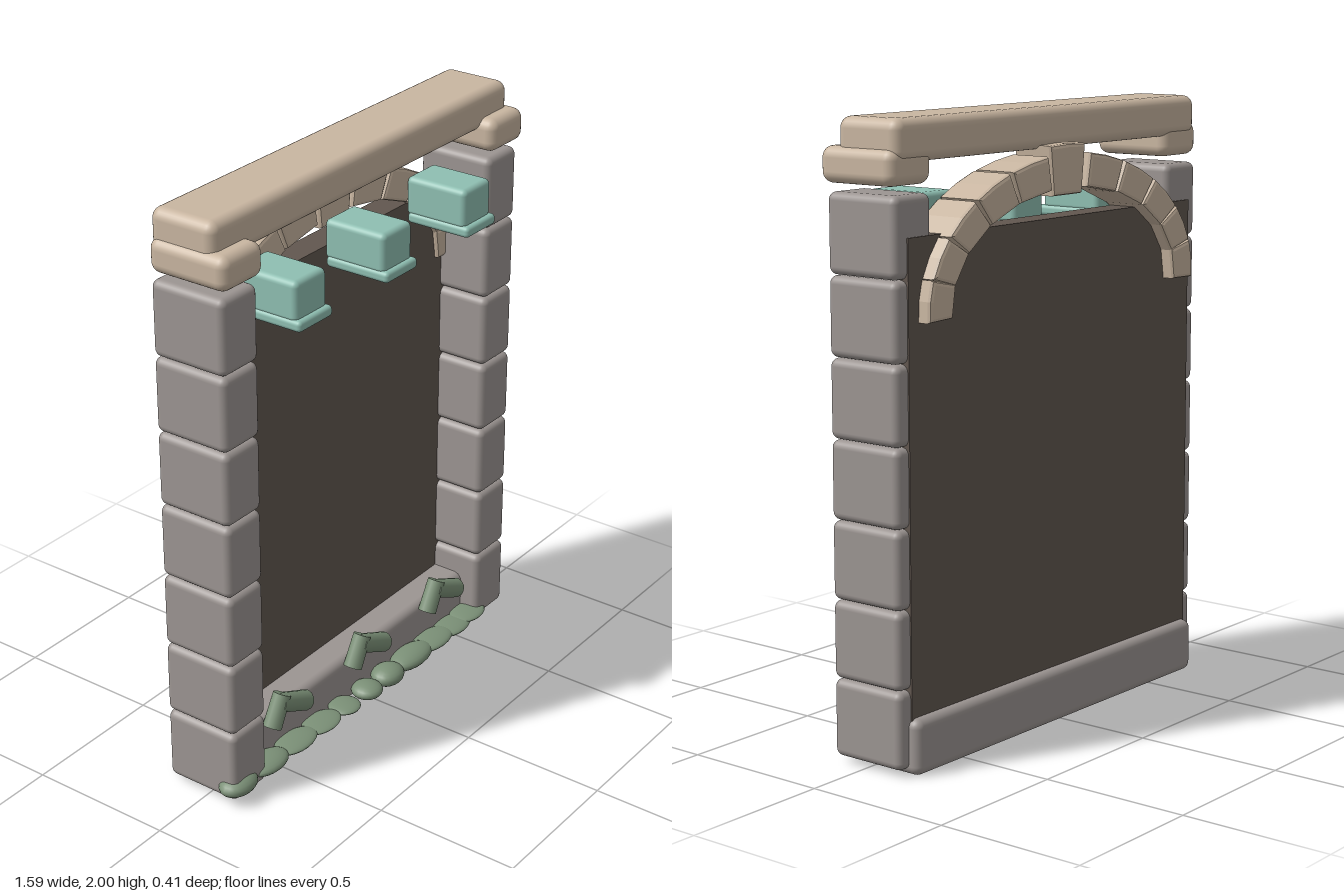
import * as THREE from 'three';
import { RoundedBoxGeometry } from 'three/addons/geometries/RoundedBoxGeometry.js';

function material(name, color) {
  const m = new THREE.MeshStandardMaterial({ color });
  m.name = name;
  return m;
}

export function createModel() {
  const model = new THREE.Group();
  model.name = 'stoneGateway';

  const greyStone = material('greyStone', 0x9c9592);
  const sandstone = material('sandstone', 0xc9b6a1);
  const darkPanel = material('darkPanel', 0x61574f);
  const patina = material('patina', 0x8fbfb2);
  const moss = material('moss', 0x7b9077);

  function add(name, geometry, mat) {
    const mesh = new THREE.Mesh(geometry, mat);
    mesh.name = name;
    model.add(mesh);
    return mesh;
  }

  // Rounded block given by its lowest and highest corner
  function block(name, mat, [x0, y0, z0], [x1, y1, z1], radius) {
    const geo = new RoundedBoxGeometry(x1 - x0, y1 - y0, z1 - z0, 3, radius);
    return add(name, geo.translate((x0 + x1) / 2, (y0 + y1) / 2, (z0 + z1) / 2), mat);
  }

  // Back panel and sill
  const panel = new THREE.BoxGeometry(1.45, 1.53, 0.095).translate(0.005, 0.885, -0.11);
  add('backPanel', panel, darkPanel);
  block('sill', greyStone, [-0.73, 0, -0.19], [0.74, 0.18, 0.05], 0.03);

  // Pillars of seven blocks, each with a cap
  for (const x of [-0.685, 0.697]) {
    for (let i = 0; i < 7; i++) {
      const y = 0.02 + i * 0.251;
      block('pillarBlock', greyStone, [x - 0.084, y, -0.153], [x + 0.084, y + 0.249, 0.121], 0.025);
    }
    block('pillarCap', sandstone, [x - 0.095, 1.8, -0.15], [x + 0.095, 1.912, 0.14], 0.035);
  }
  block('lintel', sandstone, [-0.762, 1.868, -0.155], [0.772, 2, 0.085], 0.035);

  // Elliptical arch of wedge stones
  function archStone(name, t0, t1, inner, outer, back) {
    const bevel = 0.012;
    const at = (t, r) => new THREE.Vector2((0.63 + r) * Math.sin(t), 1.42 + (0.38 + r) * Math.cos(t));
    const tm = (t0 + t1) / 2;
    const shape = new THREE.Shape([
      at(t0, inner + bevel), at(t1, inner + bevel),
      at(t1, outer - bevel), at(tm, outer - bevel), at(t0, outer - bevel),
    ]);
    const geo = new THREE.ExtrudeGeometry(shape, {
      depth: -0.045 - back - 2 * bevel, bevelEnabled: true,
      bevelThickness: bevel, bevelSize: bevel, bevelSegments: 2,
    });
    add(name, geo.translate(0, 0, back + bevel), sandstone);
  }
  const step = THREE.MathUtils.degToRad(17);
  const half = step / 2 - 0.028;
  for (let i = -5; i <= 5; i++) {
    if (i === 0) archStone('keystone', -0.11, 0.11, -0.075, 0.085, -0.195);
    else archStone('archStone', i * step - half, i * step + half, -0.055, 0.055, -0.203);
  }

  // Round stick between two points
  function stick(name, from, to, r0, r1) {
    const a = new THREE.Vector3(...from);
    const b = new THREE.Vector3(...to);
    const dir = b.clone().sub(a);
    const mesh = add(name, new THREE.CylinderGeometry(r1, r0, dir.length(), 12), moss);
    mesh.position.copy(a).add(b).multiplyScalar(0.5);
    mesh.quaternion.setFromUnitVectors(new THREE.Vector3(0, 1, 0), dir.normalize());
  }

  // Hanging brackets with a foot plate, and a forked twig below each
  for (const x of [-0.437, 0.004, 0.445]) {
    block('bracket', patina, [x - 0.077, 1.625, -0.04], [x + 0.077, 1.76, 0.19], 0.02);
    block('bracketFoot', patina, [x - 0.083, 1.603, -0.03], [x + 0.083, 1.64, 0.208], 0.014);
    stick('twigStem', [x - 0.08, 0.155, 0.075], [x - 0.025, 0.257, 0.075], 0.032, 0.03);
    stick('twigBranch', [x - 0.045, 0.232, 0.075], [x + 0.098, 0.165, 0.075], 0.033, 0.035);
  }

  // Moss pads along the foot: x, y, half width, half height
  const pads = [
    [-0.72, 0.062, 0.075, 0.034], [-0.57, 0.057, 0.09, 0.024], [-0.42, 0.055, 0.095, 0.015],
    [-0.28, 0.052, 0.085, 0.012], [-0.15, 0.048, 0.058, 0.014], [-0.02, 0.044, 0.055, 0.027],
    [0.1, 0.042, 0.065, 0.035], [0.24, 0.043, 0.105, 0.03], [0.37, 0.045, 0.1, 0.017],
    [0.49, 0.042, 0.09, 0.015], [0.59, 0.048, 0.08, 0.014],
  ];
  for (const [x, y, rx, ry] of pads) {
    const pad = add('mossPad', new THREE.SphereGeometry(1, 20, 12), moss);
    pad.scale.set(rx, ry, 0.055);
    pad.position.set(x, y, 0.095);
  }

  return model;
}
